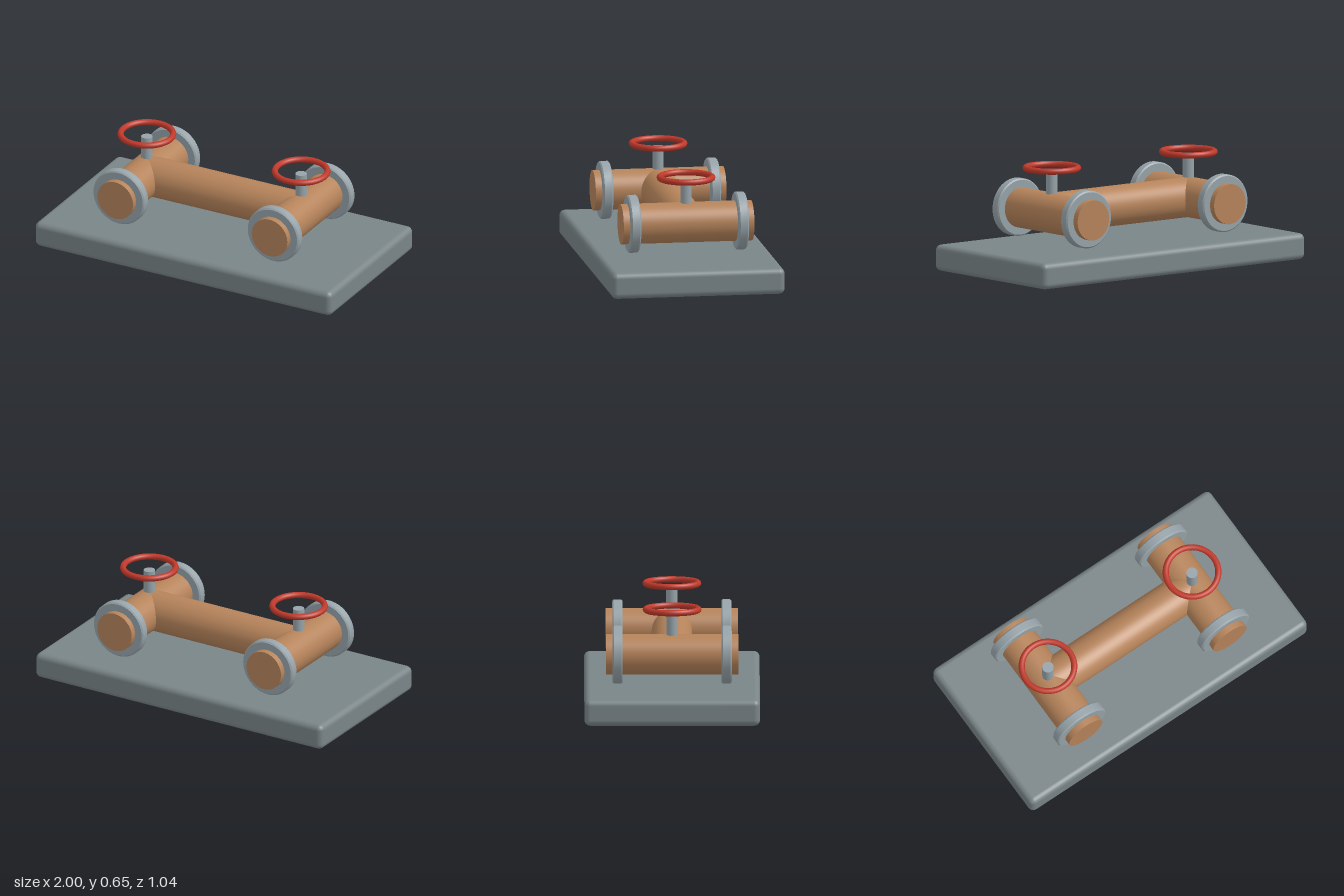
import * as THREE from 'three';
import { RoundedBoxGeometry } from 'three/addons/geometries/RoundedBoxGeometry.js';
import { toCreasedNormals } from 'three/addons/utils/BufferGeometryUtils.js';

const PIPE_Y = 0.36, PIPE_R = 0.12, SIDE_X = 0.52;

const mat = (color) => new THREE.MeshStandardMaterial({ color });

function addMesh(parent, name, geometry, material, x = 0, y = 0, z = 0) {
  const mesh = new THREE.Mesh(geometry, material);
  mesh.name = name;
  mesh.position.set(x, y, z);
  parent.add(mesh);
  return mesh;
}

// Flange disc along z with slightly bevelled rims
function flangeGeometry(radius, width, bevel) {
  const h = width / 2;
  const profile = [
    [0, -h], [radius - bevel, -h], [radius, -h + bevel],
    [radius, h - bevel], [radius - bevel, h], [0, h],
  ].map(([r, y]) => new THREE.Vector2(r, y));
  const lathe = new THREE.LatheGeometry(profile, 48).rotateX(Math.PI / 2);
  return toCreasedNormals(lathe, 0.5);
}

export function createModel() {
  const model = new THREE.Group();
  model.name = 'pipeManifold';

  const slate = mat(0x7a8588);
  const steel = mat(0x96a3a9);
  const copper = mat(0xb5835a);
  const red = mat(0xc0392b);

  // Base slab
  addMesh(model, 'base', new RoundedBoxGeometry(2, 0.157, 1.04, 3, 0.035), slate, 0, 0.0785, 0);

  // Pipe joining the two sides
  const cross = new THREE.CylinderGeometry(PIPE_R, PIPE_R, SIDE_X * 2, 48).rotateZ(Math.PI / 2);
  addMesh(model, 'crossPipe', cross, copper, 0, PIPE_Y, 0);

  const sidePipe = new THREE.CylinderGeometry(PIPE_R, PIPE_R, 0.784, 48).rotateX(Math.PI / 2);
  const flange = flangeGeometry(0.172, 0.06, 0.008);
  const stem = new THREE.CylinderGeometry(0.034, 0.034, 0.255, 24);
  const wheel = new THREE.TorusGeometry(0.156, 0.0185, 10, 48).rotateX(Math.PI / 2);

  // Each side: a pipe with two flanges and a valve on top
  for (const [side, sx] of [['left', 1], ['right', -1]]) {
    const group = new THREE.Group();
    group.name = `${side}ValvePipe`;
    group.position.x = sx * SIDE_X;
    model.add(group);

    addMesh(group, 'sidePipe', sidePipe, copper, 0, PIPE_Y, 0);
    addMesh(group, 'frontFlange', flange, steel, 0, PIPE_Y, 0.323);
    addMesh(group, 'backFlange', flange, steel, 0, PIPE_Y, -0.323);
    addMesh(group, 'valveStem', stem, steel, 0, 0.4875, 0);
    addMesh(group, 'handwheel', wheel, red, 0, 0.63, 0);
  }
  return model;
}
